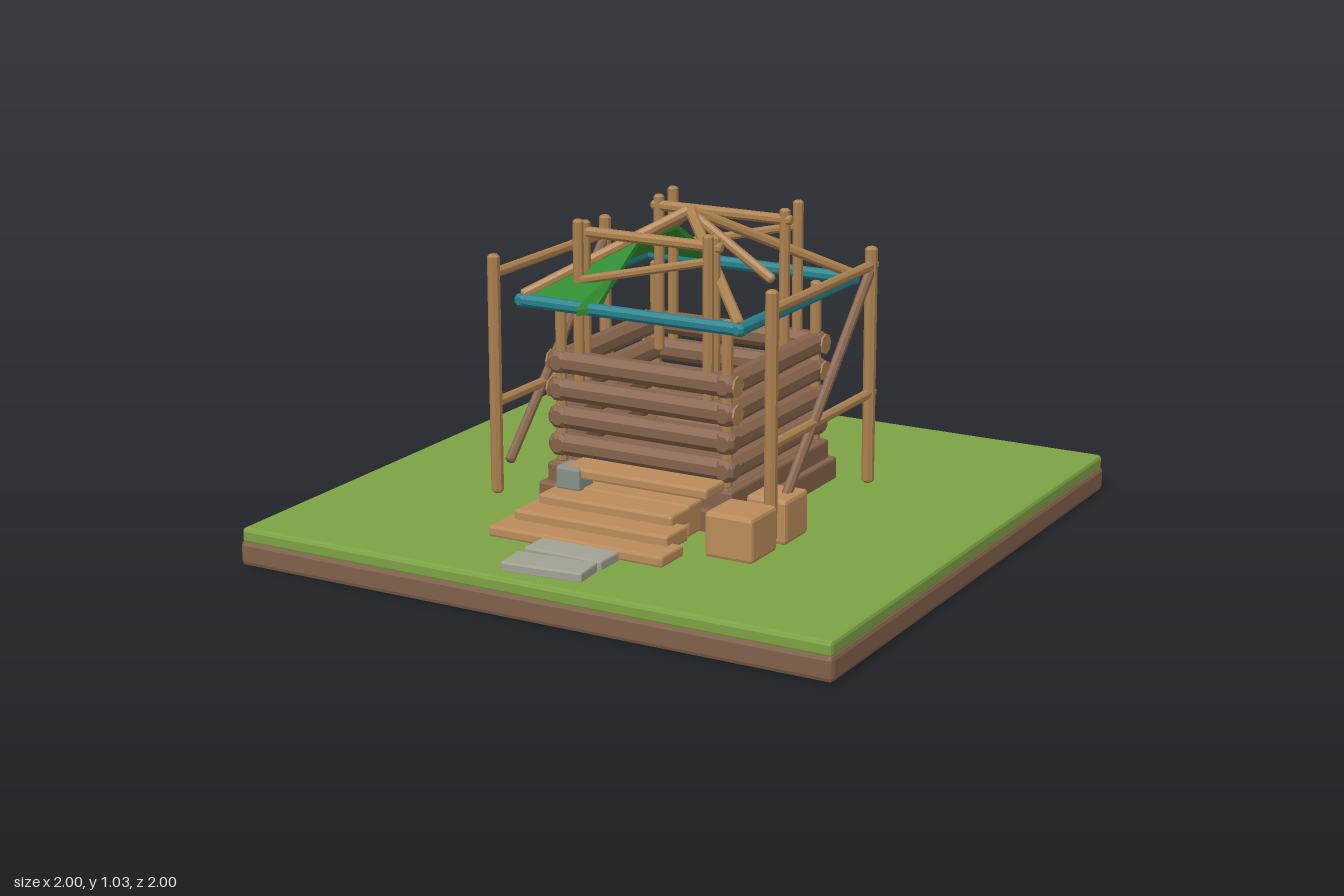
import * as THREE from 'three';
import { RoundedBoxGeometry } from 'three/addons/geometries/RoundedBoxGeometry.js';
import { ConvexGeometry } from 'three/addons/geometries/ConvexGeometry.js';

const mat = (name, color) => {
  const m = new THREE.MeshStandardMaterial({ color, flatShading: true });
  m.name = name;
  return m;
};

export function createModel() {
  const model = new THREE.Group();
  model.name = 'unfinishedCabin';
  const M = {
    grass: mat('grass', 0x7ca244), dirt: mat('dirt', 0x80604a), log: mat('dark log', 0x84624a),
    pole: mat('pole wood', 0xab804e), plank: mat('plank wood', 0xb98b5a), teal: mat('teal trim', 0x25808c),
    leaf: mat('green roof', 0x2f8a2f), stone: mat('stone', 0xa0a092), metal: mat('grey box', 0x86908a),
  };
  const V = (x, y, z) => new THREE.Vector3(x, y, z);

  const add = (name, geometry, material, parent = model) => {
    const mesh = new THREE.Mesh(geometry, material);
    mesh.name = name;
    parent.add(mesh);
    return mesh;
  };
  // Chamfered block given by its limits
  const block = (name, material, [x0, x1], [y0, y1], [z0, z1], bevel = 0.008) => {
    const mesh = add(name, new RoundedBoxGeometry(x1 - x0, y1 - y0, z1 - z0, 1, bevel), material);
    mesh.position.set((x0 + x1) / 2, (y0 + y1) / 2, (z0 + z1) / 2);
    return mesh;
  };
  // Eight-sided pole with chamfered ends between two points
  const pole = (name, material, a, b, r, parent = model) => {
    const h = a.distanceTo(b), c = r * 0.35;
    const profile = [[0, 0], [r - c, 0], [r, c], [r, h - c], [r - c, h], [0, h]]
      .map(([x, y]) => new THREE.Vector2(x, y));
    const mesh = add(name, new THREE.LatheGeometry(profile, 8, Math.PI / 8), material, parent);
    mesh.position.copy(a);
    mesh.quaternion.setFromUnitVectors(V(0, 1, 0), b.clone().sub(a).normalize());
    return mesh;
  };

  // Ground
  block('dirtSlab', M.dirt, [-1, 1], [0, 0.08], [-1, 1], 0.015);
  block('grassLayer', M.grass, [-0.995, 0.995], [0.07, 0.12], [-0.995, 0.995], 0.012);

  // Foundation and floor
  block('foundation', M.log, [-0.345, 0.345], [0.11, 0.19], [-0.345, 0.345]);
  block('floor', M.log, [-0.325, 0.325], [0.18, 0.25], [-0.325, 0.325]);

  // Log walls
  const walls = new THREE.Group();
  walls.name = 'logWalls';
  model.add(walls);
  for (let i = 0; i < 5; i++) {
    const y = 0.22 + i * 0.0875;
    for (const s of [-0.29, 0.29]) {
      pole('crossLog', M.log, V(-0.325, y, s), V(0.325, y, s), 0.037, walls);
      pole('sideLog', M.log, V(s, y, -0.325), V(s, y, 0.325), 0.037, walls);
      // Pale cut faces on the log ends
      if (i > 2) for (const e of [-1, 1]) {
        const cap = add('logEnd', new THREE.CylinderGeometry(0.033, 0.033, 0.006, 8), M.pole, walls);
        cap.rotation.z = Math.PI / 2;
        cap.position.set(e * 0.326, y, s);
      }
    }
  }

  // Corner posts carrying the eaves
  for (const x of [-0.29, 0.29])
    for (const z of [-0.29, 0.29]) pole('cornerPost', M.pole, V(x, 0.25, z), V(x, 0.77, z), 0.018);

  // Tall frames inside the front and back walls
  for (const [z, top] of [[0.25, 1.01], [-0.2, 1.01], [0.29, 1.02], [-0.29, 1.02]]) {
    const frame = new THREE.Group();
    frame.name = 'innerFrame';
    model.add(frame);
    for (const x of [-0.225, 0.225]) pole('framePost', M.pole, V(x, 0.5, z), V(x, top, z), 0.017, frame);
    if (top < 1.015) pole('topRail', M.pole, V(-0.25, 0.975, z), V(0.25, 0.975, z), 0.017, frame);
    else pole('frameBrace', M.pole, V(-0.23, 0.83, z), V(0.23, 0.94, z), 0.014, frame);
  }

  // Side scaffolds
  for (const x of [-0.48, 0.48]) {
    const frame = new THREE.Group();
    frame.name = 'sideScaffold';
    model.add(frame);
    for (const z of [-0.29, 0.37]) pole('scaffoldPost', M.pole, V(x, 0.14, z), V(x, 0.9, z), 0.02, frame);
    for (const y of [0.43, 0.84]) pole('scaffoldRail', M.pole, V(x, y, -0.32), V(x, y, 0.385), 0.016, frame);
    pole('scaffoldBrace', M.log, V(x, 0.22, 0.3), V(x, 0.83, -0.29), 0.016, frame);
  }

  // Eaves ring and rafters
  for (const s of [-0.375, 0.375]) {
    pole('eaveCross', M.teal, V(-0.395, 0.77, s), V(0.395, 0.77, s), 0.02);
    pole('eaveSide', M.teal, V(s, 0.77, -0.395), V(s, 0.77, 0.395), 0.02);
    for (const t of [-0.375, 0.375]) pole('hipRafter', M.pole, V(s, 0.785, t), V(0, 1.02, 0), 0.017);
  }
  pole('rightRafter', M.pole, V(0.29, 0.83, 0), V(-0.01, 1.02, 0), 0.016);
  pole('leftRafter', M.pole, V(-0.14, 0.93, 0), V(0.01, 1.02, 0), 0.016);

  // Half-finished hipped roof on the right side, cut at x = -0.11
  const panel = (name, pts) => add(name, new ConvexGeometry(
    pts.flatMap(([x, y, z]) => [V(x, y, z), V(x, y - 0.018, z)])), M.leaf);
  const e = 0.372, c = -0.11, y0 = 0.785, y1 = 0.945;
  panel('sideRoofPanel', [[-e, y0, -e], [-e, y0, e], [c, y1, -c], [c, y1, c]]);
  panel('backRoofPanel', [[-e, y0, -e], [c, y0, -e], [c, y1, c]]);
  panel('frontRoofPanel', [[-e, y0, e], [c, y0, e], [c, y1, -c]]);
  panel('roofFlap', [[-0.19, y0 - 0.01, 0.36], [c, 0.86, 0.27], [c, y0 - 0.01, 0.36], [-0.15, 0.775, 0.425]]);

  // Front steps
  block('bottomStep', M.plank, [-0.3, 0.3], [0.12, 0.155], [0.57, 0.7]);
  block('secondStep', M.plank, [-0.265, 0.265], [0.135, 0.185], [0.48, 0.61]);
  block('thirdStep', M.plank, [-0.235, 0.23], [0.165, 0.215], [0.39, 0.52]);
  block('porchBase', M.plank, [-0.22, 0.23], [0.12, 0.22], [0.33, 0.42]);
  block('porchBoard', M.plank, [-0.2, 0.3], [0.25, 0.285], [0.32, 0.435]);
  block('greyBox', M.metal, [-0.22, -0.135], [0.212, 0.285], [0.36, 0.445]);

  // Crates
  block('frontCrate', M.plank, [0.355, 0.515], [0.12, 0.26], [0.39, 0.55], 0.012);
  block('rearCrate', M.plank, [0.385, 0.52], [0.12, 0.26], [0.2, 0.35], 0.012);

  // Stepping stones
  block('nearStone', M.stone, [-0.11, 0.155], [0.115, 0.148], [0.69, 0.8], 0.006);
  block('farStone', M.stone, [-0.105, 0.155], [0.115, 0.148], [0.82, 0.93], 0.006).rotation.y = 0.1;

  return model;
}
